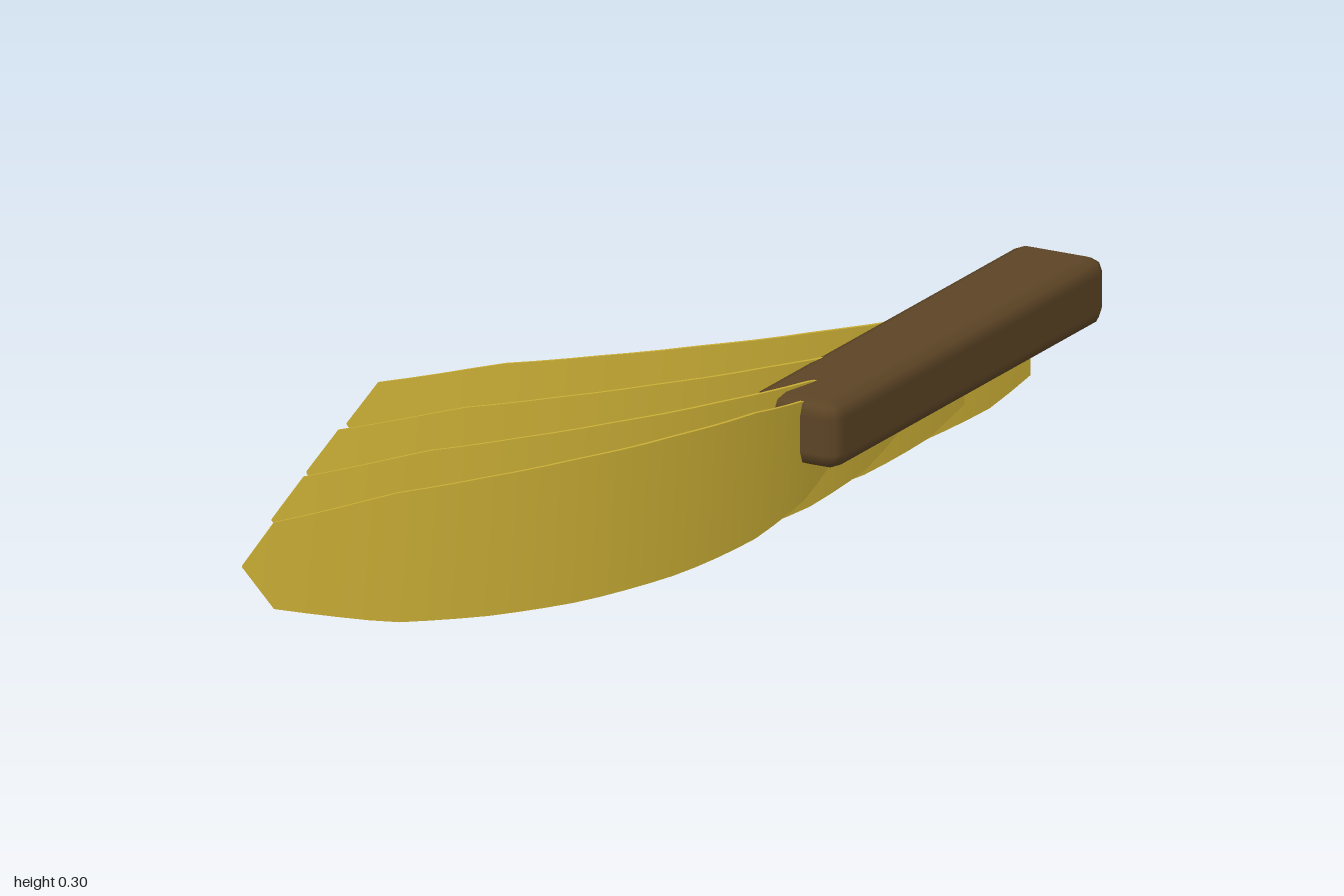
import * as THREE from 'three';
import { RoundedBoxGeometry } from 'three/addons/geometries/RoundedBoxGeometry.js';

const RADIUS = 1.19; // bend of every blade, seen from above
const SWEEP = 1.124; // angle covered by a blade
const THICK = 0.007;

// Half height of a blade along its length, base to tip
const PROFILE = [
  [0, 0.057], [0.083, 0.09], [0.21, 0.115], [0.36, 0.127], [0.53, 0.131],
  [0.67, 0.127], [0.8, 0.118], [0.959, 0.079], [1, 0.001],
];

function halfHeight(u) {
  for (let i = 1; i < PROFILE.length; i++) {
    const [u0, h0] = PROFILE[i - 1], [u1, h1] = PROFILE[i];
    if (u <= u1) return h0 + (h1 - h0) * (u - u0) / (u1 - u0);
  }
  return PROFILE[PROFILE.length - 1][1];
}

// Point on the arc, relative to the blade's base
function arcPoint(start, u, inset) {
  const a = start + SWEEP * u;
  return new THREE.Vector3(
    (RADIUS - inset) * Math.cos(a) - RADIUS * Math.cos(start), 0,
    (RADIUS - inset) * Math.sin(a) - RADIUS * Math.sin(start));
}

// A thin box bent round the arc and shaped by the profile
function bladeGeometry(start) {
  const geo = new THREE.BoxGeometry(1, 1, 1, 24, 1, 1);
  const pos = geo.attributes.position;
  for (let i = 0; i < pos.count; i++) {
    const u = pos.getX(i) + 0.5;
    const thick = THICK * (1 - 0.6 * u * u);
    const p = arcPoint(start, u, pos.getZ(i) * thick);
    pos.setXYZ(i, p.x, pos.getY(i) * 2 * halfHeight(u), p.z);
  }
  geo.computeVertexNormals();
  return geo;
}

export function createModel() {
  const yellow = new THREE.MeshStandardMaterial({ color: 0xc9ad35 });
  yellow.name = 'yellow';
  const olive = new THREE.MeshStandardMaterial({ color: 0x86732a });
  olive.name = 'dark olive';
  const brown = new THREE.MeshStandardMaterial({ color: 0x5c4425 });
  brown.name = 'brown';

  const model = new THREE.Group();

  // Chamfered bar that carries the blades
  const bar = new THREE.Mesh(new RoundedBoxGeometry(0.18, 0.125, 0.97, 1, 0.03), brown);
  bar.name = 'bar';
  bar.position.set(0.36, 0.2125, -0.515);
  model.add(bar);

  // Four blades, fanned and stepping down towards the back
  for (let i = 0; i < 4; i++) {
    const start = -0.134 + 0.0915 * i;
    const blade = new THREE.Group();
    blade.name = `blade${i + 1}`;
    blade.position.set(0.363, 0.178 - 0.0145 * i, -0.16 - 0.237 * i);

    const sheet = new THREE.Mesh(bladeGeometry(start), yellow);
    sheet.name = 'sheet';

    // Dark oval on the inner side of the tip
    const spotAt = 0.942;
    const angle = start + SWEEP * spotAt;
    const spot = new THREE.Mesh(new THREE.CircleGeometry(1, 12), olive);
    spot.name = 'tipSpot';
    spot.scale.set(0.036, 0.065, 1);
    spot.position.copy(arcPoint(start, spotAt, 0.0045));
    spot.rotation.y = Math.atan2(-Math.cos(angle), -Math.sin(angle));

    blade.add(sheet, spot);
    model.add(blade);
  }
  return model;
}
